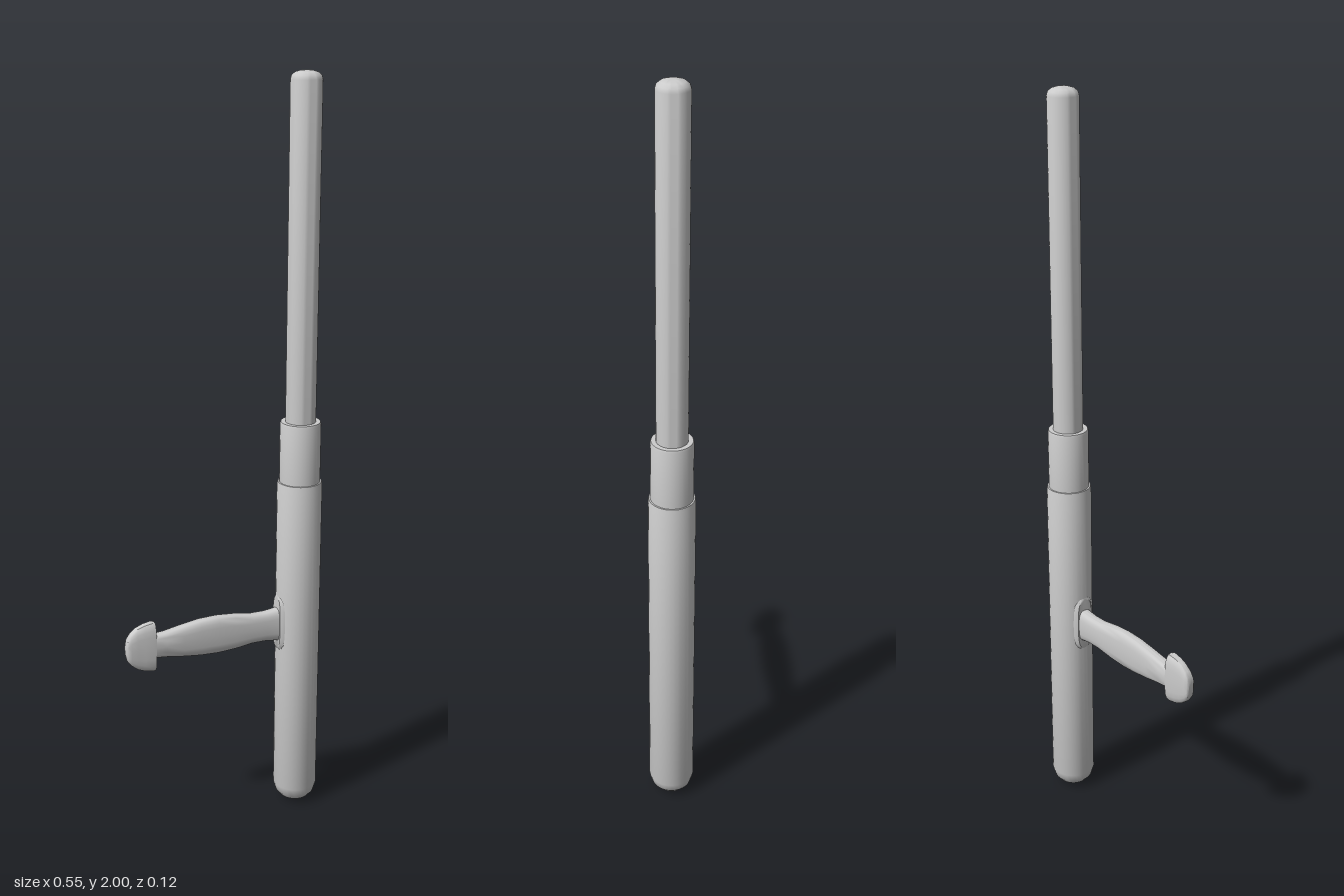
import * as THREE from 'three';
import { toCreasedNormals } from 'three/addons/utils/BufferGeometryUtils.js';

const material = new THREE.MeshStandardMaterial({ color: 0xcccccc });
const SHAFT_X = 0.216;

function addPart(group, name, geometry) {
  const mesh = new THREE.Mesh(toCreasedNormals(geometry, 0.7), material);
  mesh.name = name;
  group.add(mesh);
  return mesh;
}

// Turned part around the shaft axis, profile as [radius, y] from bottom to top
function turned(profile) {
  return new THREE.LatheGeometry(profile.map(([r, y]) => new THREE.Vector2(r, y)), 32);
}

// Loft along x through rounded-rectangle sections [x, yLow, yHigh, halfDepth]
function loft(sections, sides = 20) {
  const soft = (v) => Math.sign(v) * Math.pow(Math.abs(v), 0.65);
  const positions = [];
  const index = [];
  for (const [x, y0, y1, hz] of sections) {
    for (let i = 0; i < sides; i++) {
      const a = (i / sides) * Math.PI * 2;
      positions.push(x, (y0 + y1) / 2 + soft(Math.cos(a)) * (y1 - y0) / 2, soft(Math.sin(a)) * hz);
    }
  }
  for (let s = 0; s < sections.length - 1; s++) {
    for (let i = 0; i < sides; i++) {
      const a = s * sides + i;
      const b = s * sides + (i + 1) % sides;
      index.push(a, b, b + sides, a, b + sides, a + sides);
    }
  }
  // End caps
  const last = (sections.length - 1) * sides;
  for (let i = 1; i < sides - 1; i++) {
    index.push(0, i + 1, i);
    index.push(last, last + i, last + i + 1);
  }
  const geometry = new THREE.BufferGeometry();
  geometry.setAttribute('position', new THREE.Float32BufferAttribute(positions, 3));
  geometry.setIndex(index);
  return geometry;
}

export function createModel() {
  const model = new THREE.Group();
  model.name = 'sideHandleBaton';

  // Telescoping shaft: thick grip, collar and slim rod
  const shaft = new THREE.Group();
  shaft.name = 'shaft';
  shaft.position.x = SHAFT_X;
  model.add(shaft);
  addPart(shaft, 'grip', turned([
    [0, 0], [0.022, 0.003], [0.04, 0.011], [0.053, 0.026], [0.06, 0.05],
    [0.06, 0.942], [0.058, 0.95], [0.04, 0.95],
  ]));
  addPart(shaft, 'collar', turned([[0.04, 0.94], [0.054, 0.94], [0.054, 1.108], [0.052, 1.114], [0.03, 1.114]]));
  addPart(shaft, 'rod', turned([
    [0.04, 1.1], [0.04, 1.978], [0.037, 1.988], [0.028, 1.995], [0.014, 1.999], [0, 2],
  ]));

  // Side handle with a gently swelling, flattened grip
  addPart(model, 'sideHandle', loft([
    [-0.205, 0.513, 0.577, 0.02],
    [-0.17, 0.51, 0.58, 0.02],
    [-0.12, 0.502, 0.59, 0.02],
    [-0.07, 0.496, 0.598, 0.02],
    [-0.02, 0.494, 0.6, 0.02],
    [0.03, 0.497, 0.596, 0.02],
    [0.08, 0.504, 0.588, 0.02],
    [0.12, 0.504, 0.588, 0.02],
    [0.15, 0.5, 0.592, 0.021],
    [0.18, 0.496, 0.596, 0.024],
  ]));

  // Mushroom-shaped end knob
  addPart(model, 'handleKnob', loft([
    [-0.278, 0.53, 0.56, 0.008],
    [-0.274, 0.513, 0.577, 0.013],
    [-0.265, 0.5, 0.59, 0.015],
    [-0.248, 0.486, 0.604, 0.016],
    [-0.228, 0.478, 0.612, 0.018],
    [-0.205, 0.474, 0.616, 0.02],
    [-0.198, 0.476, 0.614, 0.02],
  ]));

  // Mounting flange hugging the shaft
  addPart(model, 'handleMount', loft([
    [0.154, 0.475, 0.625, 0.024],
    [0.162, 0.465, 0.635, 0.031],
    [0.185, 0.46, 0.64, 0.036],
  ]));

  return model;
}
